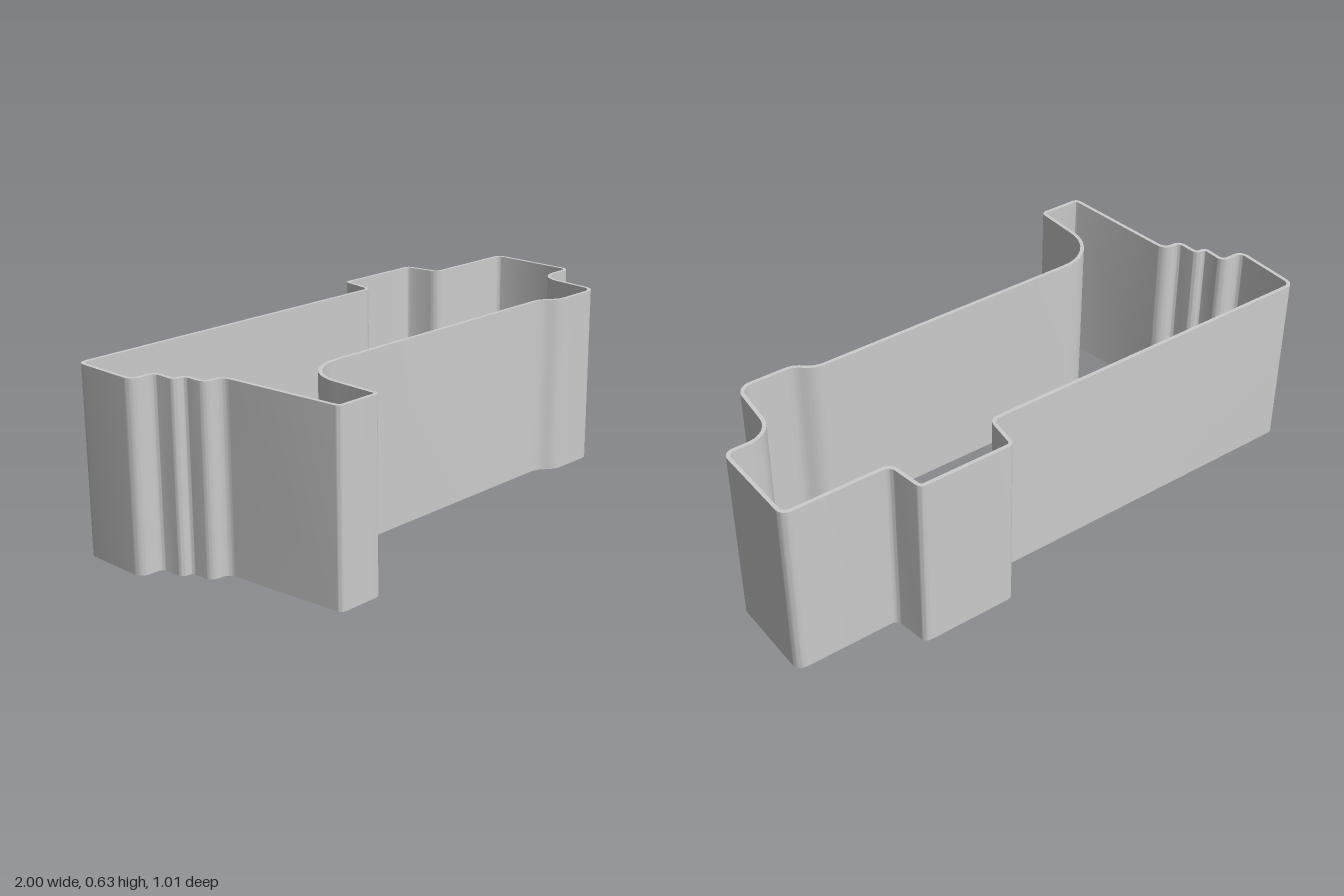
import * as THREE from 'three';
import { toCreasedNormals } from 'three/addons/utils/BufferGeometryUtils.js';

const HEIGHT = 0.627, WALL = 0.013, ARC_STEPS = 10;

// Outer outline seen from above: x, z, corner radius
const CORNERS = [
  // back edge with raised tab
  [-1, -0.375, 0.035], [0.262, -0.375, 0.025], [0.28, -0.505, 0.025],
  [0.619, -0.505, 0.025], [0.637, -0.375, 0.025], [1, -0.375, 0.035],
  // left end and bulge
  [1, -0.03, 0.035], [0.836, -0.03, 0.085], [0.812, 0.228, 0.055],
  [0.61, 0.228, 0.08], [0.552, 0.18, 0.08],
  // long front wall and tapered leg
  [-0.595, 0.18, 0.15], [-0.595, 0.505, 0.022], [-0.761, 0.505, 0.022], [-0.803, 0.063, 0.03],
  // small steps on the right end
  [-0.87, 0.063, 0.03], [-0.874, -0.023, 0.014], [-0.914, -0.023, 0.022],
  [-0.914, -0.113, 0.02], [-1, -0.113, 0.035],
];

// Rounds every corner with a true arc and moves the curve inward by the inset
function roundedOutline(corners, inset) {
  const pts = corners.map(([x, z]) => new THREE.Vector2(x, -z));
  const n = pts.length, out = [];
  for (let i = 0; i < n; i++) {
    const p = pts[i], r = corners[i][2];
    const u = p.clone().sub(pts[(i + n - 1) % n]).normalize();
    const v = pts[(i + 1) % n].clone().sub(p).normalize();
    const turn = Math.atan2(u.cross(v), u.dot(v));
    const side = Math.sign(turn);            // clockwise outline: -1 is a convex corner
    const d = r * Math.tan(Math.abs(turn) / 2);
    const centre = p.clone().addScaledVector(u, -d)
      .add(new THREE.Vector2(-u.y, u.x).multiplyScalar(side * r));
    const start = Math.atan2(-side * u.x, side * u.y);
    const radius = r + side * inset;
    for (let k = 0; k <= ARC_STEPS; k++) {
      const a = start + turn * k / ARC_STEPS;
      out.push(new THREE.Vector2(centre.x + radius * Math.cos(a), centre.y + radius * Math.sin(a)));
    }
  }
  return out;
}

export function createModel() {
  const group = new THREE.Group();
  group.name = 'cutterFrame';

  // Thin wall, open at top and bottom; the hole runs the other way so its faces look inward
  const shape = new THREE.Shape(roundedOutline(CORNERS, 0));
  shape.holes.push(new THREE.Path(roundedOutline(CORNERS, WALL).reverse()));
  const extruded = new THREE.ExtrudeGeometry(shape, { depth: HEIGHT, bevelEnabled: false });
  extruded.rotateX(-Math.PI / 2);

  const wall = new THREE.Mesh(
    toCreasedNormals(extruded, 0.6),
    new THREE.MeshStandardMaterial({ color: 0xcccccc })
  );
  wall.name = 'outlineWall';
  group.add(wall);
  return group;
}
